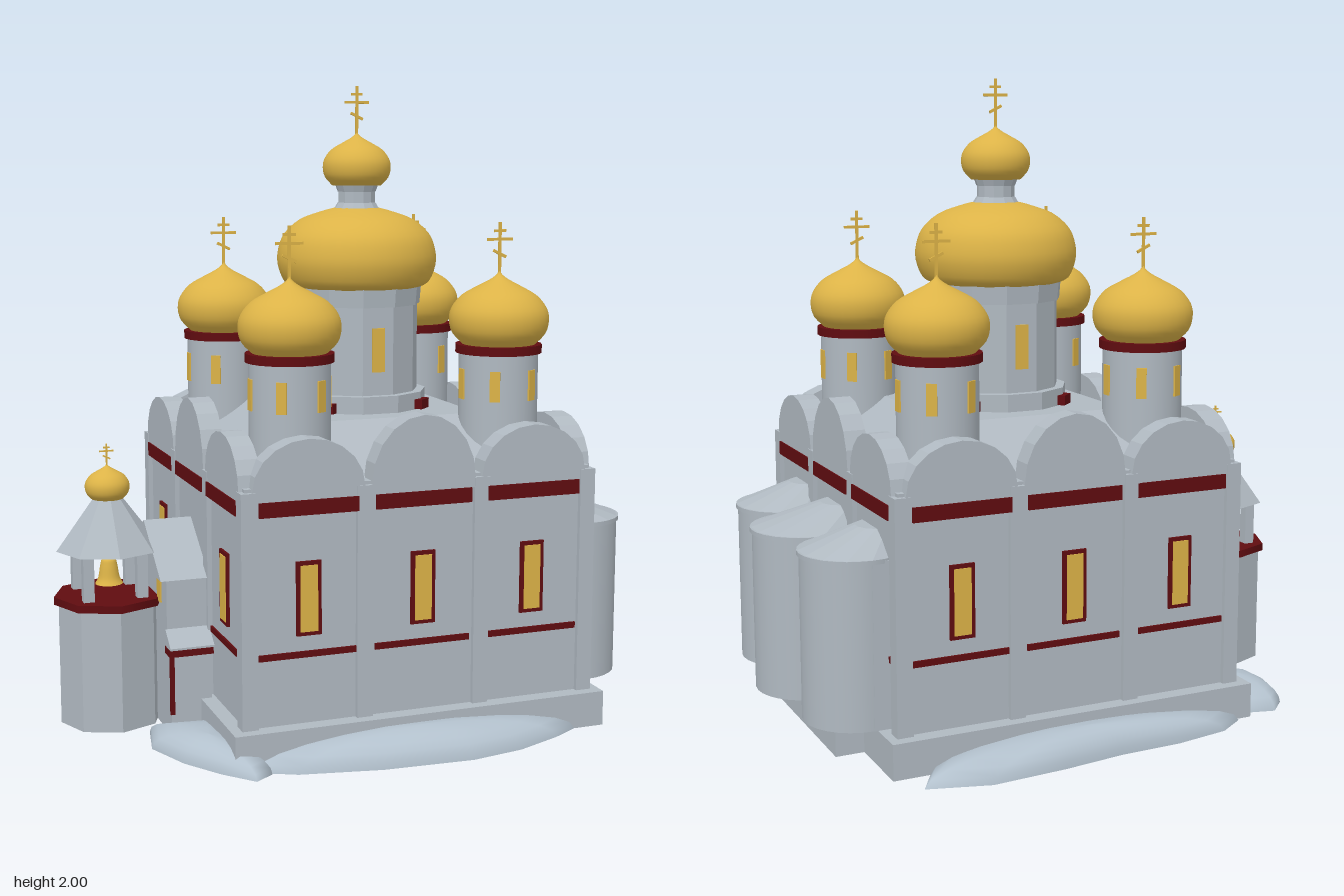
import * as THREE from 'three';

const mat = (name, color, extra = {}) => new THREE.MeshStandardMaterial({ name, color, ...extra });

export function createModel() {
  const stone = mat('stone', 0xb0b9c1);
  const stoneFlat = mat('stone', 0xb0b9c1, { flatShading: true });
  const snow = mat('snow', 0xb3c1cd, { side: THREE.DoubleSide });
  const gold = mat('gold', 0xdcb347);
  const red = mat('dark red', 0x600c10);

  const model = new THREE.Group();
  model.name = 'church';
  const CX = 0.0875, HALF = 0.575;

  const add = (parent, name, geo, material, x = 0, y = 0, z = 0) => {
    const m = new THREE.Mesh(geo, material);
    m.name = name;
    m.position.set(x, y, z);
    parent.add(m);
    return m;
  };
  const group = (name, x = 0, y = 0, z = 0, parent = model) => {
    const g = new THREE.Group();
    g.name = name;
    g.position.set(x, y, z);
    parent.add(g);
    return g;
  };
  // box between two heights
  const box = (p, name, material, w, y0, y1, d, x = 0, z = 0) =>
    add(p, name, new THREE.BoxGeometry(w, y1 - y0, d), material, x, (y0 + y1) / 2, z);
  // tapered cylinder between two heights
  const drum = (p, name, material, rBottom, rTop, y0, y1, sides, x = 0, z = 0) =>
    add(p, name, new THREE.CylinderGeometry(rTop, rBottom, y1 - y0, sides), material, x, (y0 + y1) / 2, z);
  const lathe = (p, name, pts, segs = 28) => {
    const curve = new THREE.SplineCurve(pts.map(([r, y]) => new THREE.Vector2(r, y)));
    const smooth = curve.getPoints(24).map(v => new THREE.Vector2(Math.max(v.x, 0), v.y));
    return add(p, name, new THREE.LatheGeometry(smooth, segs), gold);
  };
  const ONION = [[0.72, 0], [0.93, 0.15], [1, 0.33], [0.95, 0.5], [0.75, 0.67], [0.45, 0.79], [0.2, 0.88], [0.06, 0.95], [0.02, 1]];
  const onion = (p, r, y0, h) => lathe(p, 'onionDome', ONION.map(([a, b]) => [a * r, y0 + b * h]));
  // cross with a short, a long and a slanted bar
  const cross = (p, y0, h, w) => {
    const g = group('cross', 0, y0, 0, p), t = w * 0.1;
    box(g, 'crossPost', gold, t, -0.01, h, 0.006);
    box(g, 'crossTopBar', gold, w * 0.45, h * 0.8, h * 0.8 + t, 0.006);
    box(g, 'crossMainBar', gold, w, h * 0.63, h * 0.63 + t, 0.006);
    box(g, 'crossSlantedBar', gold, w * 0.55, h * 0.34, h * 0.34 + t, 0.006).rotation.z = -0.45;
  };

  // plinth and main block
  box(model, 'plinth', stone, 1.21, 0, 0.11, 1.22, 0.085);
  box(model, 'apsePlinth', stone, 0.2, 0, 0.11, 0.73, 0.68);
  box(model, 'walls', stone, 1.12, 0.11, 0.83, 1.12, CX);
  const roof = drum(model, 'roof', stoneFlat, 0.51 * Math.SQRT2, 0.3 * Math.SQRT2, 0.83, 0.97, 4, CX);
  roof.geometry.rotateY(Math.PI / 4);

  // one facade with pilasters, gables, bands and windows, facing +z
  const bays = [[-0.365, 0.175, 0.97], [0, 0.168, 1.02], [0.365, 0.175, 0.97]];
  const facade = (name, angle, windows, lowerBand) => {
    const g = group(name, CX, 0, 0);
    g.rotation.y = angle;
    for (const u of [-0.55, -0.19, 0.19, 0.55])
      box(g, 'pilaster', stone, 0.05, 0.11, 0.82, 0.04, u, HALF - 0.02);
    bays.forEach(([u, half, top], i) => {
      const arch = new THREE.Shape();
      arch.moveTo(-half, 0.79);
      for (let k = 0; k <= 10; k++) {
        const a = Math.PI * (1 - k / 10);
        arch.lineTo(half * Math.cos(a), 0.82 + (top - 0.82) * Math.sin(a));
      }
      arch.lineTo(half, 0.79);
      const geo = new THREE.ExtrudeGeometry(arch, { depth: 0.07, bevelEnabled: false });
      add(g, 'archedGable', geo, stoneFlat, u, 0, HALF - 0.073);
      box(g, 'upperBand', red, 0.31, 0.745, 0.79, 0.009, u, HALF - 0.003);
      if (lowerBand) box(g, 'lowerBand', red, 0.31, 0.313, 0.332, 0.009, u, 0.562);
      if (!windows.includes(i)) return;
      box(g, 'windowFrame', red, 0.078, 0.38, 0.605, 0.009, u, 0.564);
      box(g, 'windowPane', gold, 0.054, 0.392, 0.593, 0.009, u, 0.567);
    });
  };
  facade('frontFacade', 0, [0, 1, 2], true);
  facade('backFacade', Math.PI, [0, 1, 2], true);
  facade('rightFacade', -Math.PI / 2, [0, 2], true);
  facade('leftFacade', Math.PI / 2, [], true);

  // three rounded apses with sloping caps
  for (const [x, z, r] of [[0.7, -0.325, 0.165], [0.742, 0, 0.17], [0.7, 0.325, 0.165]]) {
    const g = group('apse', x, 0, z);
    drum(g, 'apseWall', stone, r - 0.003, r - 0.003, 0.11, 0.62, 28);
    box(g, 'apseBase', stone, x - 0.6, 0.11, 0.62, r * 1.98, (0.6 - x) / 2);
    drum(g, 'apseRim', stone, r + 0.003, r + 0.003, 0.612, 0.626, 28);
    const cap = drum(g, 'apseRoof', stoneFlat, r + 0.002, 0.07, 0.625, 0.69, 14);
    const p = cap.geometry.attributes.position;
    for (let i = 0; i < p.count; i++) if (p.getY(i) > 0) p.setX(i, p.getX(i) + 0.62 - x);
    cap.geometry.computeVertexNormals();
  }

  // windows set around a drum
  const ringWindows = (p, n, r, w, y0, y1, start) => {
    for (let i = 0; i < n; i++) {
      const a = start + i * 2 * Math.PI / n;
      box(p, 'drumWindow', gold, w, y0, y1, 0.009, r * Math.sin(a), r * Math.cos(a)).rotation.y = a;
    }
  };

  // four corner towers
  for (const x of [-0.26, 0.435]) for (const z of [-0.345, 0.345]) {
    const g = group('cornerTower', x, 0, z);
    drum(g, 'cornerDrum', stone, 0.125, 0.125, 0.85, 1.17, 24);
    drum(g, 'cornerBand', red, 0.136, 0.136, 1.168, 1.195, 24);
    ringWindows(g, 6, 0.124, 0.032, 1.025, 1.12, Math.PI / 2);
    onion(g, 0.157, 1.193, 0.23);
    cross(g, 1.42, 0.155, 0.088);
  }

  // central tower
  const c = group('centralTower', CX, 0, 0);
  const turned = (...a) => drum(c, ...a).rotateY(Math.PI / 12);
  turned('drumBase', stoneFlat, 0.228, 0.228, 0.95, 1.025, 12);
  turned('centralDrum', stoneFlat, 0.2, 0.2, 1.02, 1.31, 12);
  turned('drumCornice', stoneFlat, 0.208, 0.213, 1.305, 1.365, 12);
  ringWindows(c, 4, 0.196, 0.042, 1.1, 1.24, 0);
  for (let i = 0; i < 4; i++) {
    const a = Math.PI / 4 + i * Math.PI / 2;
    box(c, 'drumFootBlock', red, 0.06, 0.972, 1.003, 0.04, 0.225 * Math.sin(a), 0.225 * Math.cos(a)).rotation.y = a;
  }
  lathe(c, 'mainDome', [[0.195, 1.357], [0.235, 1.375], [0.257, 1.43], [0.255, 1.48], [0.235, 1.53], [0.185, 1.575], [0.12, 1.6], [0.06, 1.615], [0, 1.617]], 32);
  drum(c, 'lanternFoot', stoneFlat, 0.08, 0.062, 1.6, 1.63, 12);
  drum(c, 'lantern', stoneFlat, 0.06, 0.06, 1.62, 1.67, 12);
  drum(c, 'lanternTop', stoneFlat, 0.062, 0.072, 1.665, 1.692, 12);
  onion(c, 0.11, 1.685, 0.17);
  cross(c, 1.85, 0.15, 0.082);

  // porch with gable roof and side awnings
  const porch = group('porch', -0.55, 0, 0);
  box(porch, 'porchBody', stone, 0.13, 0, 0.49, 0.4);
  const gable = new THREE.Shape([[-0.21, 0.485], [0.21, 0.485], [0, 0.635]].map(q => new THREE.Vector2(...q)));
  const gableGeo = new THREE.ExtrudeGeometry(gable, { depth: 0.155, bevelEnabled: false });
  add(porch, 'porchRoof', gableGeo, stoneFlat, 0.07, 0, 0).rotation.y = -Math.PI / 2;
  for (const s of [-1, 1]) {
    box(porch, 'sideEntrance', stone, 0.13, 0, 0.255, 0.05, 0, s * 0.22);
    box(porch, 'entranceLintel', red, 0.14, 0.253, 0.277, 0.058, 0, s * 0.222);
    box(porch, 'entranceJamb', red, 0.014, 0.07, 0.255, 0.009, -0.062, s * 0.246);
    const awning = box(porch, 'awning', stoneFlat, 0.14, 0.277, 0.33, 0.06, 0, s * 0.23);
    const p = awning.geometry.attributes.position;
    for (let i = 0; i < p.count; i++) if (p.getZ(i) * s > 0 && p.getY(i) > 0) p.setY(i, -0.02);
    box(porch, 'porchWindow', gold, 0.009, 0.4, 0.47, 0.04, -0.066, s * 0.12);
  }

  // bell tower
  const b = group('bellTower', -0.75, 0, 0);
  drum(b, 'bellTowerBody', stoneFlat, 0.162, 0.162, 0, 0.387, 8);
  drum(b, 'bellTowerLedge', red, 0.177, 0.177, 0.386, 0.41, 8);
  for (const x of [-0.085, 0.085]) for (const z of [-0.085, 0.085])
    box(b, 'belfryPost', stone, 0.034, 0.4, 0.565, 0.034, x, z);
  lathe(b, 'bell', [[0.044, 0.44], [0.034, 0.46], [0.027, 0.5], [0.02, 0.52], [0, 0.522]], 16);
  drum(b, 'bellHanger', gold, 0.006, 0.006, 0.515, 0.565, 6);
  drum(b, 'tentRoof', stoneFlat, 0.166, 0.04, 0.555, 0.725, 8);
  onion(b, 0.07, 0.715, 0.11);
  cross(b, 0.82, 0.068, 0.045);

  // snow drifts: each outline shrinks upward in rings to a rounded top
  const drift = (h, outline) => {
    const n = outline.length, K = 6, pos = [], idx = [];
    const mx = outline.reduce((s, q) => s + q[0], 0) / n, mz = outline.reduce((s, q) => s + q[1], 0) / n;
    for (let k = 0; k <= K; k++) {
      const a = k / K * Math.PI / 2, s = Math.cos(a);
      for (const [x, z] of outline) pos.push(mx + (x - mx) * s, h * Math.sin(a), mz + (z - mz) * s);
    }
    for (let k = 0; k < K; k++) for (let i = 0; i < n; i++) {
      const j = (i + 1) % n, a = k * n + i, d = k * n + j;
      idx.push(a, d, a + n, d, d + n, a + n);
    }
    const geo = new THREE.BufferGeometry();
    geo.setAttribute('position', new THREE.Float32BufferAttribute(pos, 3));
    geo.setIndex(idx);
    geo.computeVertexNormals();
    add(model, 'snowDrift', geo, snow);
  };
  drift(0.088, [[-0.47, 0.62], [-0.35, 0.68], [-0.1, 0.73], [0.18, 0.748], [0.35, 0.72], [0.5, 0.66], [0.59, 0.61], [0.45, 0.52], [0, 0.5], [-0.4, 0.54]]);
  drift(0.085, [[0.63, -0.7], [0.44, -0.755], [0.2, -0.74], [0, -0.715], [-0.2, -0.71], [-0.38, -0.68], [-0.47, -0.62], [-0.3, -0.55], [0, -0.52], [0.4, -0.54], [0.57, -0.6]]);
  drift(0.075, [[-0.62, -0.6], [-0.68, -0.54], [-0.7, -0.45], [-0.69, -0.33], [-0.62, -0.24], [-0.5, -0.25], [-0.45, -0.42], [-0.5, -0.57]]);
  drift(0.07, [[-0.67, 0.18], [-0.7, 0.33], [-0.64, 0.48], [-0.56, 0.6], [-0.48, 0.69], [-0.42, 0.65], [-0.45, 0.45], [-0.5, 0.2]]);

  return model;
}
